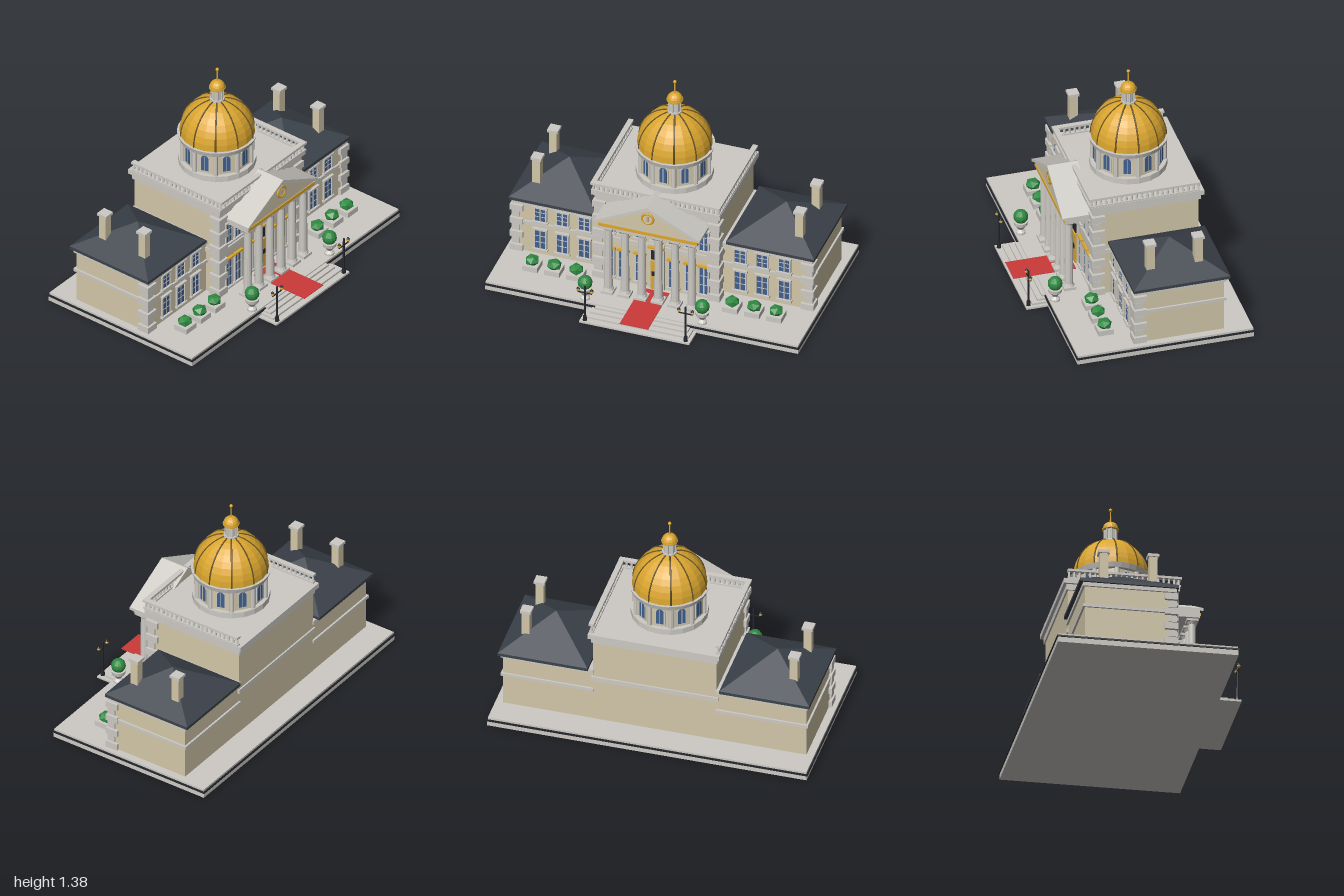
import * as THREE from 'three';

const M = {};
for (const [name, color] of Object.entries({
  stone: 0xcdcac4, wall: 0xd2c7a9, slate: 0x3c424b, gold: 0xdba62f, glass: 0x40608f,
  carpet: 0xcb3a3a, leaf: 0x2f8a42, iron: 0x23272d, rib: 0x6e5a2a,
})) {
  M[name] = new THREE.MeshStandardMaterial({ color });
  M[name].name = name;
}

const flat = (g) => {
  const f = g.index ? g.toNonIndexed() : g;
  f.computeVertexNormals();
  return f;
};

function add(parent, name, geo, mat, x = 0, y = 0, z = 0) {
  const m = new THREE.Mesh(geo, mat);
  m.name = name;
  m.position.set(x, y, z);
  parent.add(m);
  return m;
}

// Box given by its limits on each axis
function box(parent, name, mat, x0, x1, y0, y1, z0, z1) {
  return add(parent, name, new THREE.BoxGeometry(x1 - x0, y1 - y0, z1 - z0), mat,
    (x0 + x1) / 2, (y0 + y1) / 2, (z0 + z1) / 2);
}

// Upright cylinder from y0 to y1
function cyl(parent, name, mat, r0, r1, y0, y1, x, z, n = 12, start = 0) {
  const g = new THREE.CylinderGeometry(r1, r0, y1 - y0, n, 1, false, start);
  return add(parent, name, flat(g), mat, x, (y0 + y1) / 2, z);
}

function group(parent, name, x = 0, y = 0, z = 0) {
  const g = new THREE.Group();
  g.name = name;
  g.position.set(x, y, z);
  parent.add(g);
  return g;
}

// Sash window facing +z, with frame, sill and glazing bars
function sashWindow(parent, x, y0, y1, z, w = 0.075, trim = M.stone) {
  const g = group(parent, 'window', x, 0, z), h = w / 2;
  box(g, 'glass', M.glass, -h, h, y0, y1, 0, 0.006);
  for (const s of [-1, 1]) box(g, 'jamb', M.stone, s * h - 0.005, s * h + 0.005, y0, y1, 0, 0.012);
  box(g, 'mullion', M.stone, -0.004, 0.004, y0, y1, 0, 0.009);
  for (const t of [1 / 3, 2 / 3]) {
    const y = y0 + (y1 - y0) * t;
    box(g, 'glazingBar', M.stone, -h, h, y - 0.002, y + 0.002, 0, 0.008);
  }
  box(g, 'sill', M.stone, -h - 0.012, h + 0.012, y0 - 0.012, y0, 0, 0.02);
  box(g, 'lintel', trim, -h - 0.01, h + 0.01, y1, y1 + 0.012, 0, 0.018);
}

// Alternating corner stones on a front corner; s is the side of the model
function quoins(parent, s, x, z, y0, y1, n) {
  const step = (y1 - y0) / n;
  for (let i = 0; i < n; i++) {
    const d = i % 2 ? 0.04 : 0.062, out = i % 2 ? 0.012 : 0.02;
    const a = s * (x + out), b = s * (x - d);
    box(parent, 'quoin', M.stone, Math.min(a, b), Math.max(a, b),
      y0 + i * step, y0 + (i + 0.86) * step, z - d, z + out);
  }
}

function buildWing(root, s) {
  const g = group(root, s > 0 ? 'leftWing' : 'rightWing');
  const span = (name, mat, a, b, ...r) => box(g, name, mat, Math.min(s * a, s * b), Math.max(s * a, s * b), ...r);
  span('wingWall', M.wall, 0.38, 0.945, 0.055, 0.425, -0.448, 0.1);
  span('beltCourse', M.stone, 0.38, 0.957, 0.265, 0.285, -0.46, 0.112);
  span('cornice', M.stone, 0.38, 0.957, 0.402, 0.428, -0.46, 0.112);
  quoins(g, s, 0.945, 0.1, 0.06, 0.4, 7);
  // Hipped roof with overhanging eaves
  span('eaves', M.slate, 0.41, 0.97, 0.426, 0.446, -0.48, 0.122);
  const roof = new THREE.ConeGeometry(Math.SQRT1_2, 0.16, 4, 1, false, Math.PI / 4);
  roof.scale(0.56, 1, 0.602);
  add(g, 'hipRoof', flat(roof), M.slate, s * 0.69, 0.526, -0.179)
    .geometry.translate(0, 0, 0);
  for (const z of [-0.015, -0.315]) {
    span('chimney', M.wall, 0.81, 0.86, 0.44, 0.675, z - 0.025, z + 0.025);
    span('chimneyCap', M.stone, 0.801, 0.869, 0.672, 0.69, z - 0.034, z + 0.034);
  }
  for (const x of [0.775, 0.635, 0.495]) {
    sashWindow(g, s * x, 0.3, 0.395, 0.1);
    sashWindow(g, s * x, 0.1, 0.235, 0.1);
    // Planter with a low faceted shrub
    box(g, 'planter', M.stone, s * x - 0.048, s * x + 0.048, 0.055, 0.092, 0.203, 0.299);
    const bush = add(g, 'shrub', new THREE.IcosahedronGeometry(0.05, 0), M.leaf, s * x, 0.112, 0.25);
    bush.scale.set(0.95, 0.72, 0.95);
    bush.rotation.y = x * 7;
  }
}

function buildDome(root) {
  const g = group(root, 'domeTower', 0, 0, -0.122), a = Math.PI / 5;
  cyl(g, 'drumBase', M.stone, 0.235, 0.235, 0.7, 0.74, 0, 0, 20);
  cyl(g, 'drum', M.wall, 0.216, 0.216, 0.73, 0.9, 0, 0, 10, a / 2);
  cyl(g, 'drumCornice', M.stone, 0.232, 0.242, 0.885, 0.916, 0, 0, 30);
  const arch = (w, h) => {
    const s = new THREE.Shape();
    s.moveTo(-w, 0); s.lineTo(w, 0); s.lineTo(w, h);
    s.absarc(0, h, w, 0, Math.PI); s.lineTo(-w, 0);
    return s;
  };
  const surround = new THREE.ExtrudeGeometry(arch(0.032, 0.092), { depth: 0.008, bevelEnabled: false });
  const pane = new THREE.ExtrudeGeometry(arch(0.023, 0.085), { depth: 0.006, bevelEnabled: false });
  for (let i = 0; i < 10; i++) {
    const side = group(g, 'drumBay');
    side.rotation.y = i * a;
    add(side, 'archSurround', surround, M.stone, 0, 0.755, 0.203);
    add(side, 'archGlass', pane, M.glass, 0, 0.762, 0.207);
    box(side, 'glazingBar', M.stone, -0.002, 0.002, 0.762, 0.868, 0.21, 0.215);
    const post = group(g, 'drumPost');
    post.rotation.y = (i + 0.5) * a;
    cyl(post, 'pilaster', M.stone, 0.015, 0.015, 0.74, 0.888, 0, 0.216, 8);
    // Curved rib over the dome
    const rib = new THREE.TorusGeometry(0.227, 0.005, 4, 14, Math.PI / 2);
    rib.rotateY(-Math.PI / 2);
    rib.scale(1, 1.05, 1);
    add(post, 'domeRib', rib, M.rib, 0, 0.916, 0);
  }
  const shell = new THREE.SphereGeometry(0.227, 20, 9, 0, Math.PI * 2, 0, Math.PI / 2);
  shell.scale(1, 1.05, 1);
  add(g, 'dome', flat(shell), M.gold, 0, 0.916, 0);
  // Lantern and finial
  cyl(g, 'lanternFoot', M.stone, 0.046, 0.046, 1.14, 1.16, 0, 0, 12);
  cyl(g, 'lantern', M.stone, 0.036, 0.036, 1.15, 1.235, 0, 0, 10);
  for (let i = 0; i < 8; i++) {
    const t = (i * Math.PI) / 4;
    cyl(g, 'lanternPost', M.stone, 0.006, 0.006, 1.155, 1.235, Math.sin(t) * 0.036, Math.cos(t) * 0.036, 6);
  }
  cyl(g, 'lanternRim', M.gold, 0.051, 0.051, 1.231, 1.24, 0, 0, 14);
  add(g, 'lanternCap', flat(new THREE.SphereGeometry(0.048, 14, 5, 0, Math.PI * 2, 0, Math.PI / 2)), M.gold, 0, 1.238, 0);
  cyl(g, 'finialRod', M.gold, 0.005, 0.004, 1.28, 1.36, 0, 0, 6);
  add(g, 'finialBall', new THREE.SphereGeometry(0.011, 10, 8), M.gold, 0, 1.364, 0);
}

function buildPortico(root) {
  const g = group(root, 'portico');
  for (let i = 0; i < 6; i++) {
    const x = -0.265 + i * 0.106, z = 0.325;
    box(g, 'plinth', M.stone, x - 0.038, x + 0.038, 0.055, 0.075, z - 0.038, z + 0.038);
    cyl(g, 'columnBase', M.stone, 0.034, 0.029, 0.075, 0.092, x, z);
    cyl(g, 'columnShaft', M.stone, 0.027, 0.023, 0.09, 0.525, x, z);
    cyl(g, 'capital', M.stone, 0.024, 0.033, 0.52, 0.538, x, z);
    box(g, 'abacus', M.stone, x - 0.036, x + 0.036, 0.536, 0.552, z - 0.036, z + 0.036);
  }
  box(g, 'architrave', M.stone, -0.315, 0.315, 0.55, 0.6, 0.19, 0.365);
  box(g, 'goldBand', M.gold, -0.315, 0.315, 0.562, 0.582, 0.362, 0.371);
  // Gable with raking roof slabs
  const prism = (pts, depth) => new THREE.ExtrudeGeometry(
    new THREE.Shape(pts.map((p) => new THREE.Vector2(...p))), { depth, bevelEnabled: false });
  add(g, 'tympanum', prism([[-0.31, 0.59], [0.31, 0.59], [0, 0.755]], 0.165), M.wall, 0, 0, 0.2);
  for (const s of [1, -1]) {
    const pts = [[s * 0.335, 0.588], [s * 0.335, 0.606], [0, 0.775], [0, 0.752]];
    add(g, 'roofSlab', prism(s > 0 ? pts : pts.reverse(), 0.19), M.stone, 0, 0, 0.195);
  }
  add(g, 'medallionRing', new THREE.TorusGeometry(0.035, 0.008, 6, 24), M.gold, 0, 0.685, 0.37);
  const disc = add(g, 'medallionDisc', new THREE.CylinderGeometry(0.034, 0.034, 0.008, 24), M.stone, 0, 0.685, 0.368);
  disc.rotation.x = Math.PI / 2;
  box(g, 'medallionBar', M.gold, -0.005, 0.005, 0.667, 0.703, 0.37, 0.376);
}

function buildMainBlock(root) {
  const g = group(root, 'mainBlock');
  box(g, 'mainWall', M.wall, -0.385, 0.385, 0.055, 0.64, -0.45, 0.2);
  box(g, 'beltCourse', M.stone, -0.396, 0.396, 0.347, 0.375, -0.46, 0.21);
  box(g, 'frieze', M.stone, -0.395, 0.395, 0.632, 0.672, -0.46, 0.21);
  box(g, 'cornice', M.stone, -0.41, 0.41, 0.67, 0.702, -0.478, 0.226);
  for (const s of [-1, 1]) quoins(g, s, 0.385, 0.2, 0.06, 0.63, 11);
  // Balustrade along the front and both sides
  const b = group(g, 'balustrade');
  for (const [y0, y1, w] of [[0.7, 0.712, 0.013], [0.75, 0.765, 0.016]]) {
    box(b, 'frontRail', M.stone, -0.395 - w, 0.395 + w, y0, y1, 0.222 - w, 0.222 + w);
    for (const s of [-1, 1]) box(b, 'sideRail', M.stone, s * 0.395 - w, s * 0.395 + w, y0, y1, -0.455, 0.222);
  }
  for (let i = 0; i <= 26; i++) cyl(b, 'baluster', M.stone, 0.009, 0.006, 0.71, 0.752, -0.395 + (i * 0.79) / 26, 0.222, 6);
  for (let i = 0; i < 21; i++)
    for (const s of [-1, 1]) cyl(b, 'baluster', M.stone, 0.009, 0.006, 0.71, 0.752, s * 0.395, -0.445 + i * 0.032, 6);
  // Facade windows and entrance
  for (const x of [-0.3, -0.212, -0.106, 0.106, 0.212, 0.3]) {
    sashWindow(g, x, 0.41, 0.55, 0.2, 0.06);
    sashWindow(g, x, 0.09, 0.285, 0.2, 0.06, M.gold);
  }
  sashWindow(g, 0, 0.41, 0.55, 0.2, 0.06);
  const d = group(g, 'entrance');
  box(d, 'doorSurround', M.stone, -0.05, 0.05, 0.057, 0.385, 0.2, 0.212);
  box(d, 'fanlight', M.iron, -0.033, 0.033, 0.275, 0.34, 0.21, 0.218);
  box(d, 'door', M.gold, -0.033, 0.033, 0.06, 0.265, 0.21, 0.222);
  box(d, 'doorPanel', M.iron, -0.026, 0.026, 0.16, 0.19, 0.22, 0.226);
  box(d, 'doorHood', M.gold, -0.05, 0.05, 0.362, 0.372, 0.21, 0.232);
}

function buildGrounds(root) {
  const g = group(root, 'grounds');
  box(g, 'plinthBase', M.stone, -0.995, 0.995, 0, 0.033, -0.62, 0.48);
  box(g, 'plinthBand', M.iron, -1, 1, 0.033, 0.044, -0.625, 0.485);
  box(g, 'terrace', M.stone, -0.992, 0.992, 0.044, 0.057, -0.617, 0.477);
  [[0.35, 0.613], [0.33, 0.572], [0.31, 0.535], [0.29, 0.502]].forEach(([x, z], i) =>
    box(g, 'step', M.stone, -x, x, 0, 0.0125 * (i + 1), 0.4, z));
  box(g, 'carpet', M.carpet, -0.09, 0.09, 0.057, 0.061, 0.23, 0.62);
  const profile = [[0, 0], [0.03, 0], [0.03, 0.012], [0.015, 0.028], [0.022, 0.04], [0.041, 0.062], [0.045, 0.085], [0, 0.085]]
    .map((p) => new THREE.Vector2(...p));
  for (const s of [-1, 1]) {
    const u = group(g, 'urn', s * 0.372, 0.057, 0.442);
    add(u, 'urnPot', flat(new THREE.LatheGeometry(profile, 12)), M.stone);
    add(u, 'topiary', flat(new THREE.SphereGeometry(0.045, 12, 8)), M.leaf, 0, 0.119, 0);
    // Twin-arm street lamp
    const l = group(g, 'lampPost', s * 0.32, 0, 0.593);
    cyl(l, 'lampFoot', M.iron, 0.014, 0.011, 0.012, 0.045, 0, 0, 8);
    cyl(l, 'lampPole', M.iron, 0.007, 0.006, 0.04, 0.262, 0, 0, 8);
    box(l, 'lampArm', M.iron, -0.045, 0.045, 0.211, 0.217, -0.003, 0.003);
    for (const x of [-0.043, 0.043]) {
      add(l, 'lampGlobe', new THREE.SphereGeometry(0.011, 10, 8), M.gold, x, 0.228, 0);
      cyl(l, 'lampCap', M.iron, 0.011, 0.003, 0.236, 0.248, x, 0, 8);
    }
  }
}

export function createModel() {
  const root = new THREE.Group();
  root.name = 'domedHall';
  buildGrounds(root);
  buildMainBlock(root);
  for (const s of [-1, 1]) buildWing(root, s);
  buildPortico(root);
  buildDome(root);
  return root;
}
